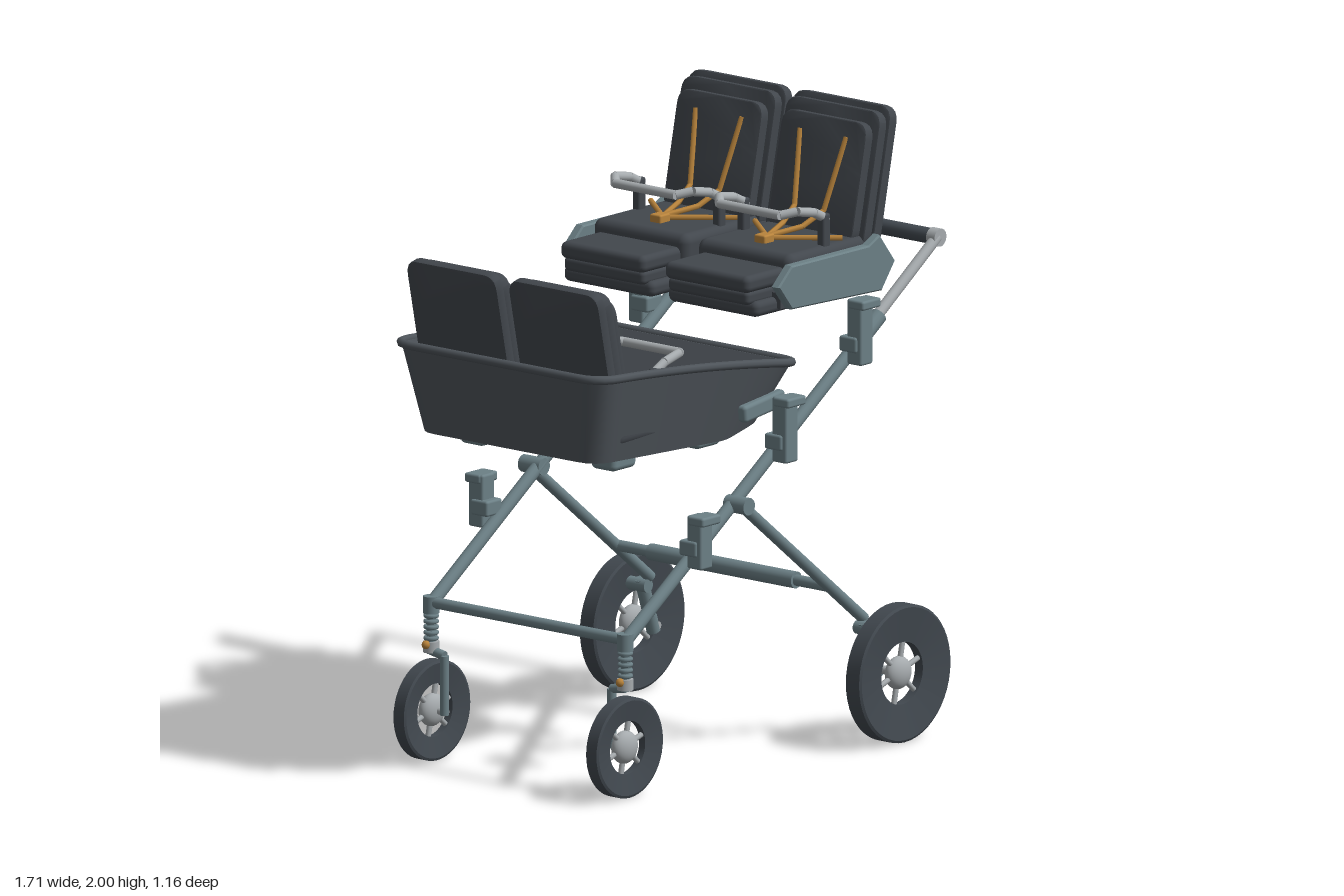
import * as THREE from 'three';
import { toCreasedNormals } from 'three/addons/utils/BufferGeometryUtils.js';
import { RoundedBoxGeometry } from 'three/addons/geometries/RoundedBoxGeometry.js';

const material = (name, color) => Object.assign(new THREE.MeshStandardMaterial({ color }), { name });
const FRAME = material('slate frame', 0x6c8086);
const SILVER = material('silver', 0xa6abae);
const CUSHION = material('charcoal cushion', 0x42474d);
const TUB = material('grey tub', 0x4e545a);
const RUBBER = material('dark rubber', 0x424950);
const STRAP = material('amber strap', 0xb9843c);
const V = (x, y, z) => new THREE.Vector3(x, y, z);

function add(parent, name, geometry, mat, x = 0, y = 0, z = 0) {
  const mesh = new THREE.Mesh(geometry, mat);
  mesh.name = name;
  mesh.position.set(x, y, z);
  parent.add(mesh);
  return mesh;
}

// Box given by its min and max on x and y, its centre on z and its depth
function block(parent, name, mat, x0, x1, y0, y1, z, depth, radius = 0) {
  const w = x1 - x0, h = y1 - y0;
  const geo = radius ? new RoundedBoxGeometry(w, h, depth, 3, radius) : new THREE.BoxGeometry(w, h, depth);
  return add(parent, name, geo, mat, (x0 + x1) / 2, (y0 + y1) / 2, z);
}

// Straight round rods through a list of points
function rods(parent, name, mat, r, points, sides = 14) {
  for (let i = 0; i < points.length - 1; i++) {
    const a = points[i], d = points[i + 1].clone().sub(a);
    const mesh = add(parent, name, new THREE.CylinderGeometry(r, r, d.length(), sides), mat);
    mesh.position.copy(a).addScaledVector(d, 0.5);
    mesh.quaternion.setFromUnitVectors(V(0, 1, 0), d.normalize());
  }
}

function roundedRect(x0, x1, hz, r) {
  const s = new THREE.Shape();
  s.moveTo(x0 + r, -hz).lineTo(x1 - r, -hz).quadraticCurveTo(x1, -hz, x1, -hz + r);
  s.lineTo(x1, hz - r).quadraticCurveTo(x1, hz, x1 - r, hz);
  s.lineTo(x0 + r, hz).quadraticCurveTo(x0, hz, x0, hz - r);
  s.lineTo(x0, -hz + r).quadraticCurveTo(x0, -hz, x0 + r, -hz);
  return s.getSpacedPoints(96).slice(0, 96);
}

// Flared tub lofted from rounded rectangles, outside then inside
function makeTub(parent) {
  const rimY = x => { const t = (x + 0.855) / 0.985; return 1.365 - 0.05 * t - 0.06 * t * t; };
  const floorY = x => x < -0.17 ? 1.08 - 0.03 * (x + 0.8) / 0.63 : 1.05 + 0.22 * (x + 0.17);
  const loop = (x0, x1, hz, r, yOf) => roundedRect(x0, x1, hz, r).map(p => V(p.x, yOf(p.x), -p.y));
  const rim = loop(-0.85, 0.125, 0.43, 0.09, rimY);
  const loops = [
    Array(96).fill(V(-0.35, 1.06, 0)),
    loop(-0.8, 0.02, 0.37, 0.08, floorY),
    rim,
    loop(-0.83, 0.105, 0.41, 0.08, rimY),
    loop(-0.785, 0, 0.355, 0.07, x => floorY(x) + 0.02),
    Array(96).fill(V(-0.35, 1.08, 0)),
  ];
  const pos = [];
  for (let k = 0; k < loops.length - 1; k++) {
    for (let i = 0; i < 96; i++) {
      const j = (i + 1) % 96, [lo, hi] = [loops[k], loops[k + 1]];
      if (k > 0) for (const p of [lo[i], lo[j], hi[j]]) pos.push(p.x, p.y, p.z);
      if (k < 4 || k === 0) for (const p of [lo[i], hi[j], hi[i]]) pos.push(p.x, p.y, p.z);
    }
  }
  const geo = new THREE.BufferGeometry();
  geo.setAttribute('position', new THREE.Float32BufferAttribute(pos, 3));
  add(parent, 'tub', toCreasedNormals(geo, 0.6), TUB);
  add(parent, 'tubRim', new THREE.TubeGeometry(new THREE.CatmullRomCurve3(rim, true), 128, 0.014, 8, true), TUB);
}

// Wheel on the z axis, with an open spoked centre
function makeWheel(parent, name, x, z, R, inner, width) {
  const wheel = new THREE.Group();
  wheel.name = name;
  wheel.position.set(x, R, z);
  parent.add(wheel);
  const h = width / 2;
  const profile = [[inner, -h * 0.5], [R - 0.008, -h], [R, -h * 0.85], [R, h * 0.85], [R - 0.008, h], [inner, h * 0.5], [inner, -h * 0.5]];
  const tyre = new THREE.LatheGeometry(profile.map(p => new THREE.Vector2(...p)), 48);
  add(wheel, 'tyre', toCreasedNormals(tyre, 0.5), RUBBER).rotation.x = Math.PI / 2;
  add(wheel, 'hub', new THREE.SphereGeometry(0.053, 24, 16), SILVER).scale.z = 0.6;
  for (let i = 0; i < 6; i++) {
    const a = (i + 0.3) * Math.PI / 3;
    rods(wheel, 'spoke', SILVER, 0.009, [V(0, 0, 0), V(Math.cos(a) * (inner + 0.006), Math.sin(a) * (inner + 0.006), 0)], 8);
  }
}

// One padded seat with backrest, bumper bar and harness; faces -x
function makeSeat(parent, name, legRest) {
  const seat = new THREE.Group();
  seat.name = name;
  parent.add(seat);
  block(seat, 'seatCushion', CUSHION, 0.09, 0.5, 1.48, 1.6, 0, 0.39, 0.03);
  if (legRest) {
    block(seat, 'legRest', CUSHION, -0.09, 0.2, 1.505, 1.56, 0, 0.345, 0.02);
    block(seat, 'legRestUnderside', CUSHION, -0.08, 0.2, 1.465, 1.51, 0, 0.33, 0.015);
    block(seat, 'seatBase', CUSHION, -0.06, 0.55, 1.425, 1.475, 0, 0.37, 0.02);
  }
  const back = new THREE.Group();
  back.name = 'backrest';
  back.position.set(0.522, 1.772, 0);
  back.rotation.z = -0.21;
  seat.add(back);
  [[0.02, 0.45, 0, 0.405], [-0.018, 0.43, -0.01, 0.39], [-0.053, 0.38, -0.025, 0.35]].forEach(([x, h, y, w]) => {
    // Rounded corners show on the broad face
    const panel = new THREE.Shape(roundedRect(-h / 2, h / 2, w / 2 - 0.005, 0.045));
    const geo = new THREE.ExtrudeGeometry(panel, { depth: 0.026, bevelSize: 0.005, bevelThickness: 0.005, bevelSegments: 2 });
    geo.translate(0, 0, -0.013).rotateZ(Math.PI / 2).rotateY(Math.PI / 2);
    add(back, 'backPad', toCreasedNormals(geo, 0.5), CUSHION, x, y, 0);
  });
  // Bumper bar on two posts
  for (const s of [1, -1]) {
    block(seat, 'bumperPost', CUSHION, 0.27, 0.305, 1.54, 1.7, s * 0.165, 0.03, 0.008);
    rods(seat, 'bumperArm', SILVER, 0.015, [V(0.3, 1.68, s * 0.165), V(0.24, 1.71, s * 0.165), V(0.165, 1.725, s * 0.16), V(0.125, 1.715, s * 0.125)]);
    // Waist and shoulder straps
    rods(seat, 'waistStrap', STRAP, 0.009, [V(0.21, 1.61, 0), V(0.36, 1.61, s * 0.18)], 6);
    rods(seat, 'shoulderStrap', STRAP, 0.009, [V(0.21, 1.615, 0), V(0.33, 1.63, s * 0.04), V(0.41, 1.67, s * 0.06), V(0.478, 1.9, s * 0.095)], 6);
  }
  rods(seat, 'bumperBar', SILVER, 0.015, [V(0.125, 1.715, 0.125), V(0.125, 1.715, -0.125)]);
  block(seat, 'buckle', STRAP, 0.17, 0.22, 1.595, 1.625, 0, 0.045, 0.006);
  return seat;
}

// Adapter that clips a seat unit to the frame tube
function makeAdapter(parent, x, y0, y1, s) {
  block(parent, 'adapterBody', FRAME, x - 0.03, x + 0.03, y0, y1, s * 0.45, 0.06, 0.008);
  block(parent, 'adapterFlange', FRAME, x - 0.035, x + 0.055, y1 - 0.03, y1, s * 0.46, 0.065, 0.008);
  block(parent, 'adapterSocket', FRAME, x - 0.038, x + 0.038, y0 + 0.04, y0 + 0.09, s * 0.43, 0.07, 0.008);
  add(parent, 'adapterButton', new THREE.SphereGeometry(0.012, 10, 8), STRAP, x + 0.02, y0 + 0.005, s * 0.41);
}

export function createModel() {
  const model = new THREE.Group();
  model.name = 'fourSeatStroller';
  const lineY = x => 0.5 + 0.682 * (x + 0.69);

  for (const s of [1, -1]) {
    // Main side tube with telescopic handle arm
    rods(model, 'sideTube', FRAME, 0.021, [V(-0.69, lineY(-0.69), s * 0.4), V(0.52, lineY(0.52), s * 0.4)]);
    rods(model, 'tubeCollar', FRAME, 0.027, [V(0.46, lineY(0.46), s * 0.4), V(0.53, lineY(0.53), s * 0.4)]);
    rods(model, 'handleArm', SILVER, 0.018, [V(0.5, lineY(0.5), s * 0.395), V(0.82, lineY(0.82), s * 0.39)]);
    rods(model, 'handleEnd', SILVER, 0.029, [V(0.82, 1.53, s * 0.37), V(0.82, 1.53, s * 0.405)], 18);
    // Rear leg, pivot and swing arm
    rods(model, 'rearLeg', FRAME, 0.019, [V(-0.175, 0.85, s * 0.44), V(0.41, 0.385, s * 0.44)]);
    rods(model, 'legPivot', FRAME, 0.028, [V(-0.17, 0.85, s * 0.38), V(-0.17, 0.85, s * 0.465)]);
    rods(model, 'swingArm', FRAME, 0.022, [V(0.39, 0.38, s * 0.46), V(0.45, 0.2, s * 0.46)]);
    rods(model, 'brakeKnob', FRAME, 0.022, [V(0.39, 0.36, s * 0.43), V(0.39, 0.36, s * 0.505)]);
    rods(model, 'rearAxle', SILVER, 0.014, [V(0.45, 0.22, s * 0.44), V(0.45, 0.22, s * 0.55)]);
    makeWheel(model, 'rearWheel', 0.45, s * 0.548, 0.22, 0.1, 0.064);
    // Front suspension, fork and wheel
    rods(model, 'frontPost', FRAME, 0.015, [V(-0.69, 0.52, s * 0.4), V(-0.69, 0.34, s * 0.4)]);
    rods(model, 'frontPostCap', FRAME, 0.026, [V(-0.69, 0.525, s * 0.4), V(-0.69, 0.47, s * 0.4)]);
    for (let i = 0; i < 5; i++) {
      add(model, 'springCoil', new THREE.TorusGeometry(0.018, 0.007, 8, 18), FRAME, -0.69, 0.39 + i * 0.018, s * 0.4).rotation.x = Math.PI / 2;
    }
    rods(model, 'swivel', SILVER, 0.026, [V(-0.69, 0.345, s * 0.4), V(-0.69, 0.38, s * 0.4)]);
    add(model, 'swivelLock', new THREE.SphereGeometry(0.014, 10, 8), STRAP, -0.715, 0.372, s * 0.4);
    rods(model, 'frontFork', FRAME, 0.015, [V(-0.69, 0.35, s * 0.4), V(-0.69, 0.34, s * 0.345), V(-0.69, 0.15, s * 0.345)]);
    rods(model, 'frontAxle', SILVER, 0.012, [V(-0.69, 0.16, s * 0.335), V(-0.69, 0.16, s * 0.4)]);
    makeWheel(model, 'frontWheel', -0.69, s * 0.397, 0.16, 0.085, 0.05);
    // Seat adapters: empty, tub and upper seat
    makeAdapter(model, -0.39, 0.69, 0.86, s);
    makeAdapter(model, 0.02, 0.96, 1.17, s);
    makeAdapter(model, 0.38, 1.21, 1.42, s);
    const arm = block(model, 'tubBracket', FRAME, -0.14, 0.06, 1.115, 1.17, s * 0.405, 0.035, 0.012);
    arm.rotation.z = 0.12;
    // Tub feet
    for (const x of [-0.595, -0.19]) block(model, 'tubFoot', FRAME, x - 0.058, x + 0.058, 1.022, 1.085, s * 0.27, 0.1, 0.018);
    // Side plate of the upper seat
    const plate = new THREE.Shape([[0, 1.52], [0.06, 1.445], [0.49, 1.43], [0.55, 1.51], [0.48, 1.6], [0.43, 1.575], [0.06, 1.575]].map(p => new THREE.Vector2(...p)));
    const plateGeo = new THREE.ExtrudeGeometry(plate, { depth: 0.024, bevelSize: 0.005, bevelThickness: 0.005, bevelSegments: 1 });
    add(model, 'seatSidePlate', plateGeo, FRAME, 0, 0, s * 0.43 - 0.012);
    // Seats, facing each other in two pairs
    makeSeat(model, 'upperSeat', true).position.z = s * 0.215;
    const low = makeSeat(model, 'lowerSeat', false);
    low.position.set(-0.215, -0.36, s * 0.21);
    low.rotation.y = Math.PI;
    low.scale.z = 0.91;
  }

  // Cross members
  rods(model, 'frontCrossBar', FRAME, 0.018, [V(-0.69, 0.505, -0.4), V(-0.69, 0.505, 0.4)]);
  rods(model, 'rearCrossBar', FRAME, 0.018, [V(0.25, 0.515, -0.44), V(0.25, 0.515, 0.44)]);
  rods(model, 'rearCrossSleeve', FRAME, 0.027, [V(0.25, 0.515, -0.3), V(0.25, 0.515, 0.3)]);
  rods(model, 'handleBar', RUBBER, 0.025, [V(0.82, 1.53, -0.37), V(0.82, 1.53, 0.37)], 20);
  block(model, 'seatPan', CUSHION, 0.04, 0.52, 1.44, 1.49, 0, 0.83);
  makeTub(model);
  return model;
}
